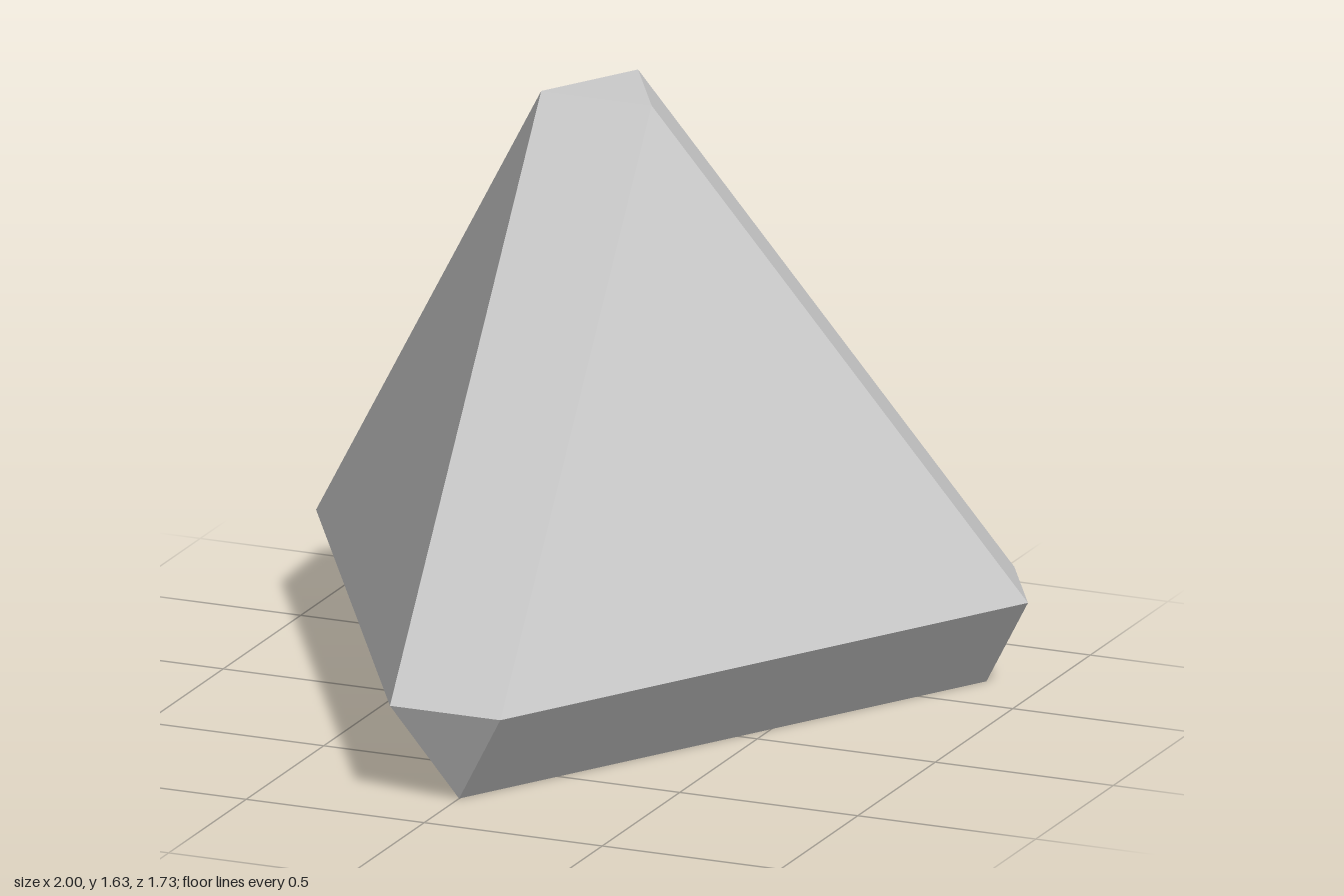
import * as THREE from 'three';

// Point in cylindrical terms about the body's vertical axis; angle runs from +z towards +x
const AXIS_Z = -0.2;
const polar = (radius, y, angle, side = 0) => new THREE.Vector3(
  radius * Math.sin(angle) + side * Math.cos(angle),
  y,
  AXIS_Z + radius * Math.cos(angle) - side * Math.sin(angle)
);

// Flat-faced geometry from convex polygons, corners counter-clockwise from outside
function fromPolygons(polygons) {
  const points = [];
  for (const p of polygons) {
    for (let i = 1; i < p.length - 1; i++) points.push(p[0], p[i], p[i + 1]);
  }
  const geometry = new THREE.BufferGeometry().setFromPoints(points);
  geometry.computeVertexNormals();
  return geometry;
}

export function createModel() {
  const group = new THREE.Group();
  group.name = 'bevelledTetrahedron';

  const half = 0.155;                  // half width of the bevelled edges
  const low = 0.257, high = 1.635;     // corner and top heights
  const base = [], left = [], right = [], top = [];
  for (let k = 0; k < 3; k++) {
    const a = k * Math.PI * 2 / 3;
    base.push(polar(0.975, 0, a));
    left.push(polar(1.065, low, a, -half));
    right.push(polar(1.065, low, a, half));
    top.push(polar(0.179, high, a + Math.PI / 3));
  }

  // Underside and cut-off peak
  const faces = [[base[0], base[2], base[1]], [top[0], top[1], top[2]]];
  for (let k = 0; k < 3; k++) {
    const n = (k + 1) % 3, p = (k + 2) % 3;
    faces.push(
      [base[k], right[k], left[k]],            // cut-off corner
      [left[k], right[k], top[k], top[p]],     // bevelled rising edge
      [right[k], left[n], top[k]],             // main sloping side
      [base[k], base[n], left[n], right[k]]    // bevelled base edge
    );
  }

  const body = new THREE.Mesh(
    fromPolygons(faces),
    new THREE.MeshStandardMaterial({ color: 0xcccccc, flatShading: true })
  );
  body.name = 'body';
  group.add(body);
  return group;
}
